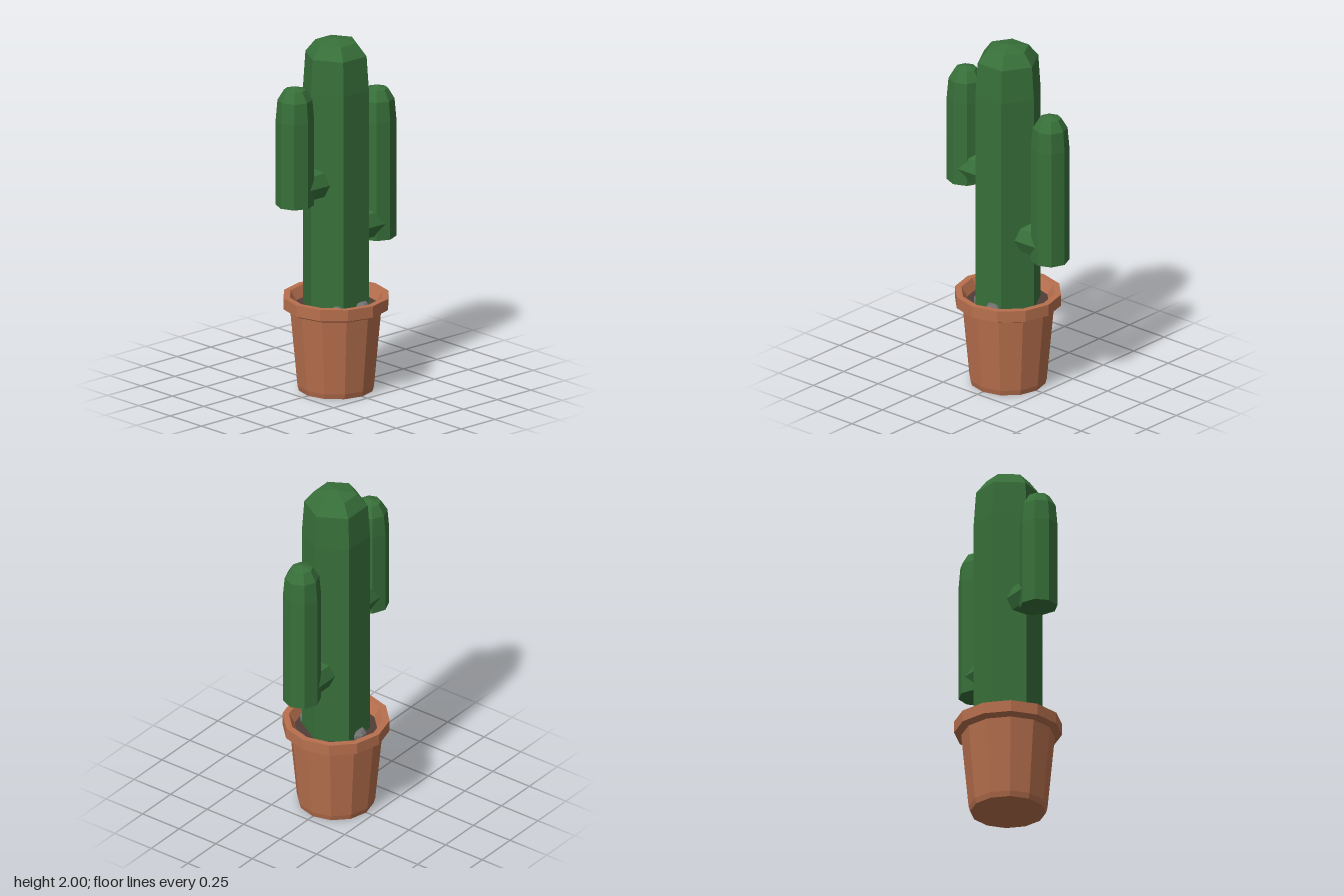
import * as THREE from 'three';

const mat = (name, color) => {
  const m = new THREE.MeshStandardMaterial({ color, flatShading: true });
  m.name = name;
  return m;
};

export function createModel() {
  const group = new THREE.Group();
  const green = mat('cactusGreen', 0x38703a);
  const clay = mat('terracotta', 0xb8704e);
  const earth = mat('soilBrown', 0x503e37);
  const grey = mat('stoneGrey', 0x727272);

  const add = (name, geometry, material, x = 0, y = 0, z = 0) => {
    const mesh = new THREE.Mesh(geometry, material);
    mesh.name = name;
    mesh.position.set(x, y, z);
    group.add(mesh);
    return mesh;
  };
  // Turned shape from [radius, height] pairs, with a corner on the x axis
  const turned = (profile, sides) => new THREE.LatheGeometry(
    profile.map(([r, y]) => new THREE.Vector2(r, y)), sides, Math.PI / 2);

  // Pot: tapered wall, overhanging rim and inner wall in one profile
  add('pot', turned([
    [0, 0], [0.207, 0], [0.215, 0.03], [0.255, 0.455], [0.262, 0.455],
    [0.294, 0.47], [0.294, 0.535], [0.258, 0.535], [0.224, 0.475],
  ], 12), clay);

  // Soil disc
  add('soil', turned([[0.226, 0.48], [0, 0.48]], 12), earth);

  // Stones: [x, z, radius]
  for (const [x, z, r] of [[0.005, -0.155, 0.048], [0.04, 0.162, 0.045], [-0.09, 0.115, 0.045]]) {
    const stone = turned([[0, -0.02], [r, -0.01], [r, 0.02], [r * 0.65, 0.04], [0, 0.042]], 8);
    stone.rotateY(Math.PI / 8);
    add('stone', stone, grey, x, 0.48, z);
  }

  // Main stem, six sided with a low crown
  add('stem', turned([
    [0, 0.47], [0.187, 0.47], [0.187, 1.72], [0.174, 1.91], [0.118, 1.98], [0, 2],
  ], 6), green);

  // Arms with their connecting stubs: [side, bottom, top]
  for (const [side, bottom, top] of [[-1, 1.112, 1.787], [1, 0.805, 1.665]]) {
    add(side < 0 ? 'rightArm' : 'leftArm', turned([
      [0, bottom], [0.105, bottom], [0.105, top - 0.19], [0.095, top - 0.075],
      [0.06, top - 0.017], [0, top],
    ], 8), green, side * 0.305);

    const stub = new THREE.CylinderGeometry(0.095, 0.095, 0.2, 8);
    stub.rotateZ(Math.PI / 2);
    add(side < 0 ? 'rightArmStub' : 'leftArmStub', stub, green, side * 0.2, bottom + 0.094, 0);
  }

  return group;
}
